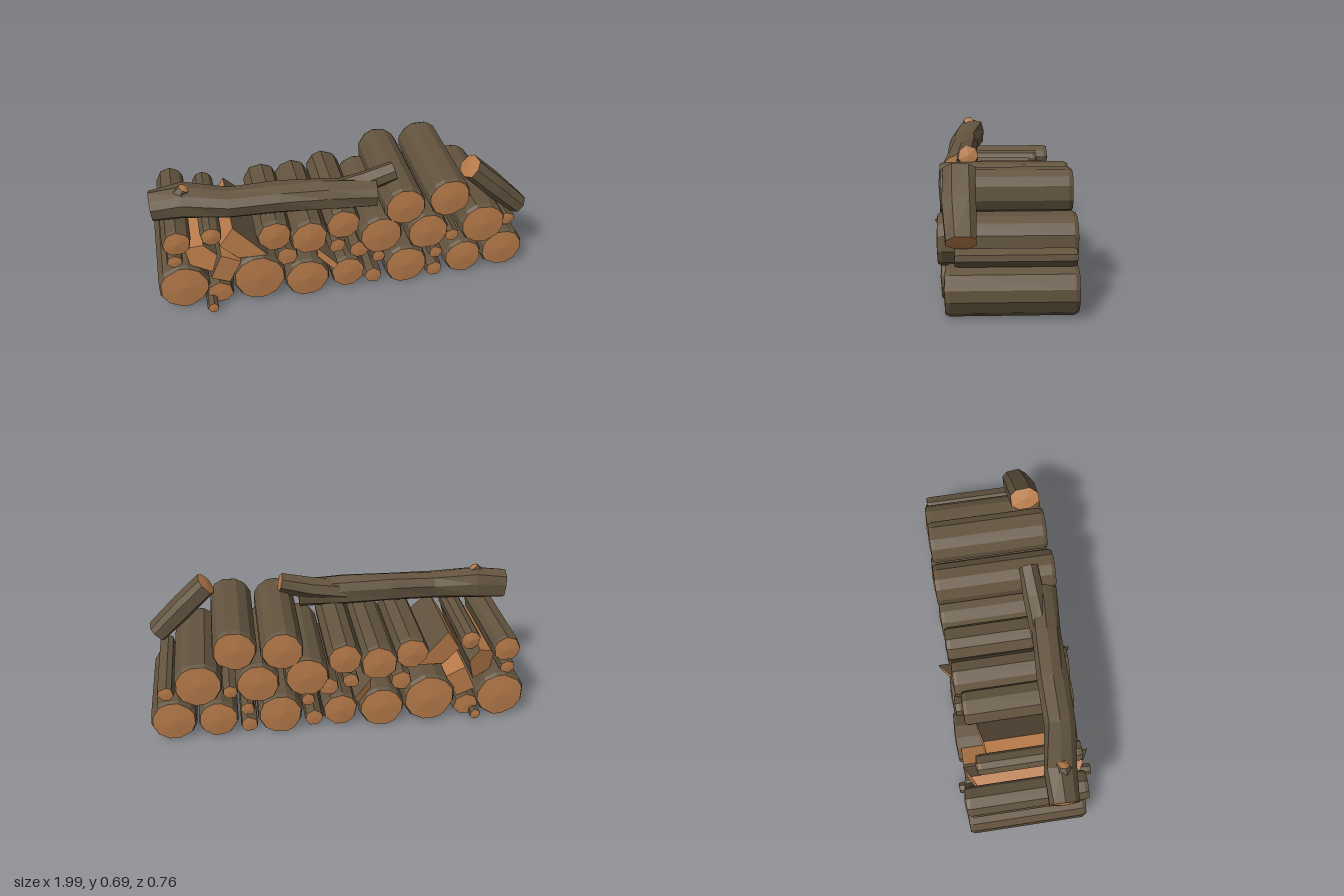
import * as THREE from 'three';

const bark = new THREE.MeshStandardMaterial({ color: 0x63543f, flatShading: true });
bark.name = 'bark';
const wood = new THREE.MeshStandardMaterial({ color: 0xb87c4b, flatShading: true });
wood.name = 'cutWood';

function seeded(seed) {
  let s = seed * 7919 + 13;
  return () => ((s = (s * 16807) % 2147483647) / 2147483647);
}

// Slightly uneven unit polygon, counter-clockwise
function roundProfile(sides, seed, jitter = 0.06) {
  const rnd = seeded(seed);
  return Array.from({ length: sides }, (_, i) => {
    const a = ((i + 0.5 + (rnd() - 0.5) * 0.4) / sides) * Math.PI * 2 - Math.PI / 2;
    const r = 1.03 + (rnd() - 0.5) * 2 * jitter;
    return [Math.cos(a) * r, Math.sin(a) * r];
  });
}

// Log swept through stations [x, y, z, radius]; bark on the sides, cut wood on the ends.
// slant tips both ends outward on one side, split lists profile edges showing cut wood.
function makeLog(name, stations, profile, { slant = 0, split = [], bulge = 0.008, rough = 0, seed = 1 } = {}) {
  const rnd = seeded(seed);
  const up = new THREE.Vector3(0, 1, 0);
  const centres = stations.map((s) => new THREE.Vector3(s[0], s[1], s[2]));
  const last = centres.length - 1;
  const axis = (i) => centres[Math.min(i + 1, last)].clone().sub(centres[Math.max(i - 1, 0)]).normalize();
  const rings = centres.map((c, i) => {
    const t = axis(i);
    const u = up.clone().cross(t).normalize();
    const v = t.clone().cross(u);
    const end = i === 0 ? 1 : i === last ? -1 : 0;
    return profile.map(([a, b]) => {
      const r = stations[i][3] * (1 + (rnd() - 0.5) * rough);
      const p = c.clone().addScaledVector(u, a * r).addScaledVector(v, b * r);
      p.addScaledVector(t, end * slant * a);
      p.y = Math.max(p.y, 0.003);
      return p;
    });
  });
  const barkTris = [], woodTris = [];
  const n = profile.length;
  for (let i = 0; i < last; i++) {
    for (let j = 0; j < n; j++) {
      const k = (j + 1) % n;
      const [a, b, c, d] = [rings[i][j], rings[i][k], rings[i + 1][k], rings[i + 1][j]];
      (split.includes(j) ? woodTris : barkTris).push(a, b, c, a, c, d);
    }
  }
  const tail = centres[0].clone().addScaledVector(axis(0), -bulge);
  const head = centres[last].clone().addScaledVector(axis(last), bulge);
  for (let j = 0; j < n; j++) {
    const k = (j + 1) % n;
    woodTris.push(tail, rings[0][k], rings[0][j], head, rings[last][j], rings[last][k]);
  }
  const geo = new THREE.BufferGeometry().setFromPoints([...barkTris, ...woodTris]);
  geo.addGroup(0, barkTris.length, 0);
  geo.addGroup(barkTris.length, woodTris.length, 1);
  geo.computeVertexNormals();
  const mesh = new THREE.Mesh(geo, [bark, wood]);
  mesh.name = name;
  return mesh;
}

// Straight stations along z with a small chamfer at both ends
function along(x, y, r, back, front) {
  return [[x, y, back, r * 0.92], [x, y, back + 0.02, r], [x, y, front - 0.02, r], [x, y, front, r * 0.92]];
}

export function createModel() {
  const pile = new THREE.Group();
  pile.name = 'firewoodPile';

  // Stacked round logs: x, y, radius, back z, front z
  const logs = [
    [-0.87, 0.135, 0.13, -0.32, 0.30], [-0.48, 0.15, 0.138, -0.33, 0.32],
    [-0.225, 0.11, 0.118, -0.32, 0.32], [-0.005, 0.108, 0.096, -0.31, 0.31],
    [0.315, 0.112, 0.116, -0.32, 0.32], [0.64, 0.11, 0.104, -0.32, 0.31],
    [0.87, 0.12, 0.117, -0.32, 0.29],
    [-0.885, 0.42, 0.074, -0.32, 0.30], [-0.71, 0.44, 0.054, -0.24, 0.30],
    [-0.39, 0.40, 0.09, -0.27, 0.31], [-0.21, 0.37, 0.1, -0.30, 0.32],
    [-0.03, 0.415, 0.09, -0.31, 0.30], [0.17, 0.33, 0.113, -0.32, 0.32],
    [0.425, 0.315, 0.112, -0.33, 0.32], [0.73, 0.325, 0.122, -0.325, 0.325],
    [0.295, 0.497, 0.108, -0.325, 0.325], [0.535, 0.512, 0.113, -0.32, 0.315],
  ];
  logs.forEach(([x, y, r, back, front], i) =>
    pile.add(makeLog('log' + (i + 1), along(x, y, r, back, front), roundProfile(r > 0.1 ? 12 : 9, i + 3, 0.03))));

  // Thin sticks filling the gaps
  const sticks = [
    [-0.69, 0.085, 0.07, -0.31, 0.31], [-0.735, 0.04, 0.031, -0.35, 0.38],
    [0.135, 0.062, 0.05, -0.3, 0.31], [0.48, 0.052, 0.046, -0.3, 0.31],
    [0.485, 0.155, 0.04, -0.31, 0.3], [0.165, 0.18, 0.038, -0.3, 0.3],
    [0.055, 0.25, 0.054, -0.3, 0.31], [-0.06, 0.285, 0.045, -0.31, 0.3],
    [-0.33, 0.265, 0.058, -0.31, 0.31], [0.57, 0.26, 0.04, -0.3, 0.3],
    [0.9, 0.28, 0.043, -0.31, 0.245], [-0.905, 0.295, 0.04, -0.3, 0.28],
  ];
  sticks.forEach(([x, y, r, back, front], i) =>
    pile.add(makeLog('stick' + (i + 1), along(x, y, r, back, front), roundProfile(7, i + 40, 0.06), { bulge: 0.003 })));

  // Split pieces, their outlines measured from the piece's centre
  const splitPiece = (name, x, y, back, front, outline, options) =>
    pile.add(makeLog(name, [[x, y, back, 1], [x, y, front, 1]], outline, { bulge: 0, ...options }));
  splitPiece('triangleSplit', -0.6, 0.36, -0.19, 0.29,
    [[0.17, -0.065], [0, 0.11], [-0.07, 0], [0.02, -0.08]], { split: [1, 2], slant: -0.15 });
  splitPiece('slabSplit', -0.65, 0.23, -0.31, 0.31,
    [[0.08, 0.04], [-0.02, 0.09], [-0.08, -0.045], [0.015, -0.085]], { split: [0, 2] });
  splitPiece('quarterSplit', -0.77, 0.315, -0.27, 0.3,
    [[0.08, 0.04], [0.015, 0.085], [-0.08, 0.04], [-0.06, -0.06], [0.05, -0.075]], { split: [1], slant: -0.55 });
  splitPiece('wedgeSplit', -0.12, 0.225, -0.335, 0.33,
    [[0.05, -0.01], [-0.05, 0.055], [-0.045, 0], [0.03, -0.05]], { split: [2, 3], slant: -0.75 });

  // Long knotted log lying across the top, with a side branch and a knot
  pile.add(makeLog('longTopLog', [
    [-0.99, 0.57, 0.155, 0.078], [-0.83, 0.585, 0.16, 0.086], [-0.6, 0.565, 0.2, 0.076],
    [-0.35, 0.568, 0.205, 0.078], [-0.1, 0.56, 0.215, 0.08], [0.155, 0.55, 0.235, 0.074],
  ], roundProfile(9, 71), { rough: 0.14, seed: 5 }));
  pile.add(makeLog('topBranch', [
    [-0.1, 0.555, 0.2, 0.06], [0.1, 0.59, 0.19, 0.058], [0.265, 0.635, 0.18, 0.052],
  ], roundProfile(7, 72), { rough: 0.1, seed: 6 }));
  pile.add(makeLog('topKnot', [
    [-0.86, 0.59, 0.165, 0.06], [-0.815, 0.668, 0.175, 0.03],
  ], roundProfile(6, 73)));

  // Short log leaning against the end of the stack
  const flat = roundProfile(8, 74, 0.03).map(([a, b]) => [a, b * 0.76]);
  pile.add(makeLog('leaningLog', [
    [0.665, 0.637, 0.222, 0.08], [0.8, 0.51, 0.222, 0.083], [0.95, 0.365, 0.213, 0.074],
  ], flat, { rough: 0.06, seed: 8 }));

  return pile;
}
